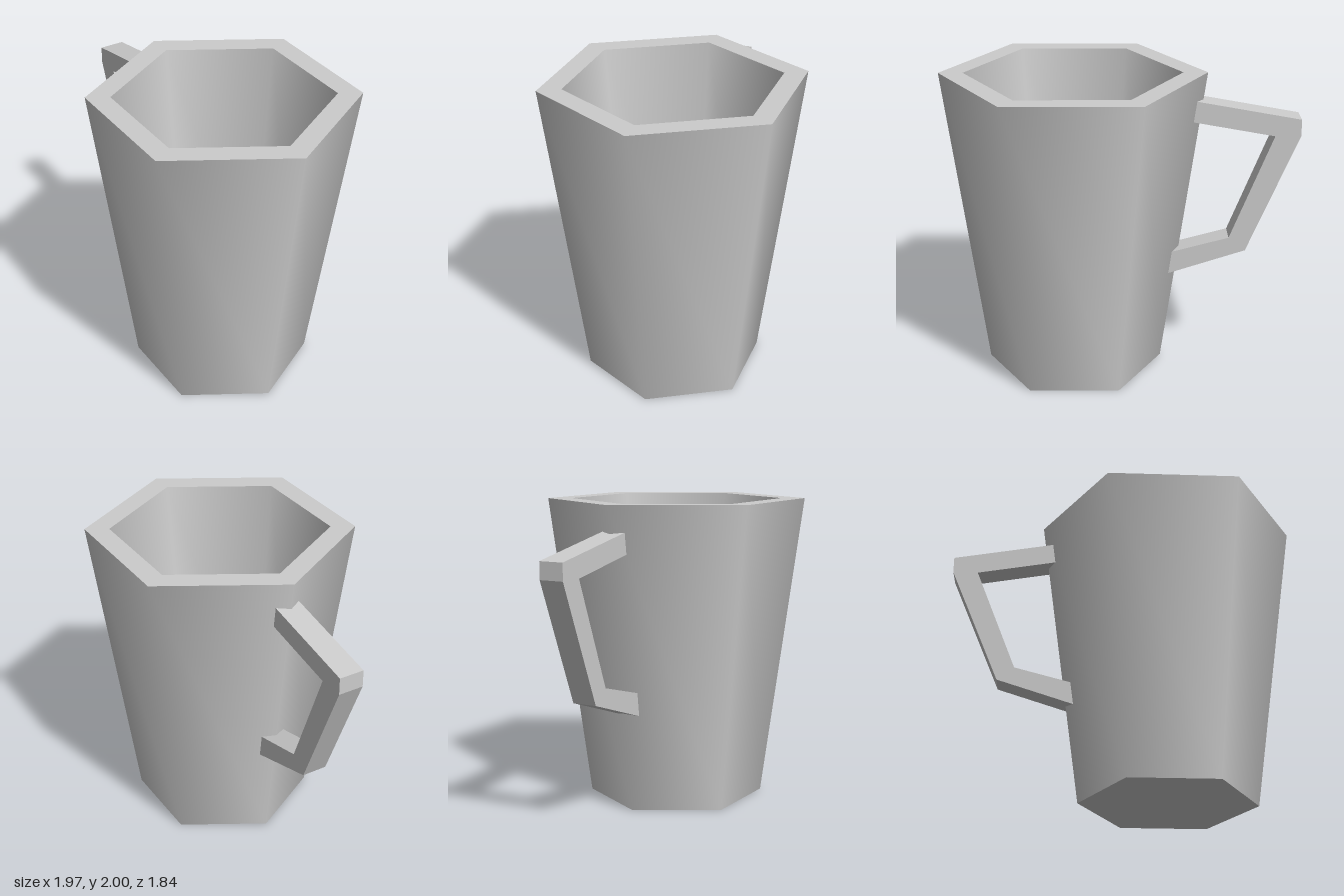
import * as THREE from 'three';

const RAD = Math.PI / 180;

export function createModel() {
  const model = new THREE.Group();
  model.name = 'mug';
  const grey = new THREE.MeshStandardMaterial({ color: 0xcccccc });
  grey.name = 'light grey';

  // Six-sided tapered cup: one ring per profile segment keeps the rims sharp
  const cup = new THREE.Group();
  cup.name = 'cup';
  cup.position.set(0.178, 0, 0.072);
  model.add(cup);

  const profile = [[0, 0], [0.58, 0], [0.853, 2], [0.697, 2], [0.473, 0.2], [0, 0.2]]
    .map(([r, y]) => new THREE.Vector2(r, y));
  ['base', 'outerWall', 'rim', 'innerWall', 'floor'].forEach((name, i) => {
    const ring = new THREE.LatheGeometry([profile[i], profile[i + 1]], 6, 50 * RAD, Math.PI * 2);
    const mesh = new THREE.Mesh(ring, grey);
    mesh.name = name;
    cup.add(mesh);
  });

  // Angular handle, drawn as radius and height, rising out of the back corner
  const outline = [
    [0.76, 1.835], [1.452, 1.71], [1.452, 1.6], [1.124, 0.81], [0.6, 0.64],
    [0.6, 0.79], [1.013, 0.9], [1.287, 1.6], [0.76, 1.695],
  ].map(([r, y]) => new THREE.Vector2(r, y));
  const thickness = 0.163;
  const geometry = new THREE.ExtrudeGeometry(new THREE.Shape(outline), {
    depth: thickness, bevelEnabled: false,
  });
  geometry.translate(0, 0, -thickness / 2);
  const handle = new THREE.Mesh(geometry, grey);
  handle.name = 'handle';
  handle.rotation.y = 140 * RAD;
  cup.add(handle);

  return model;
}
